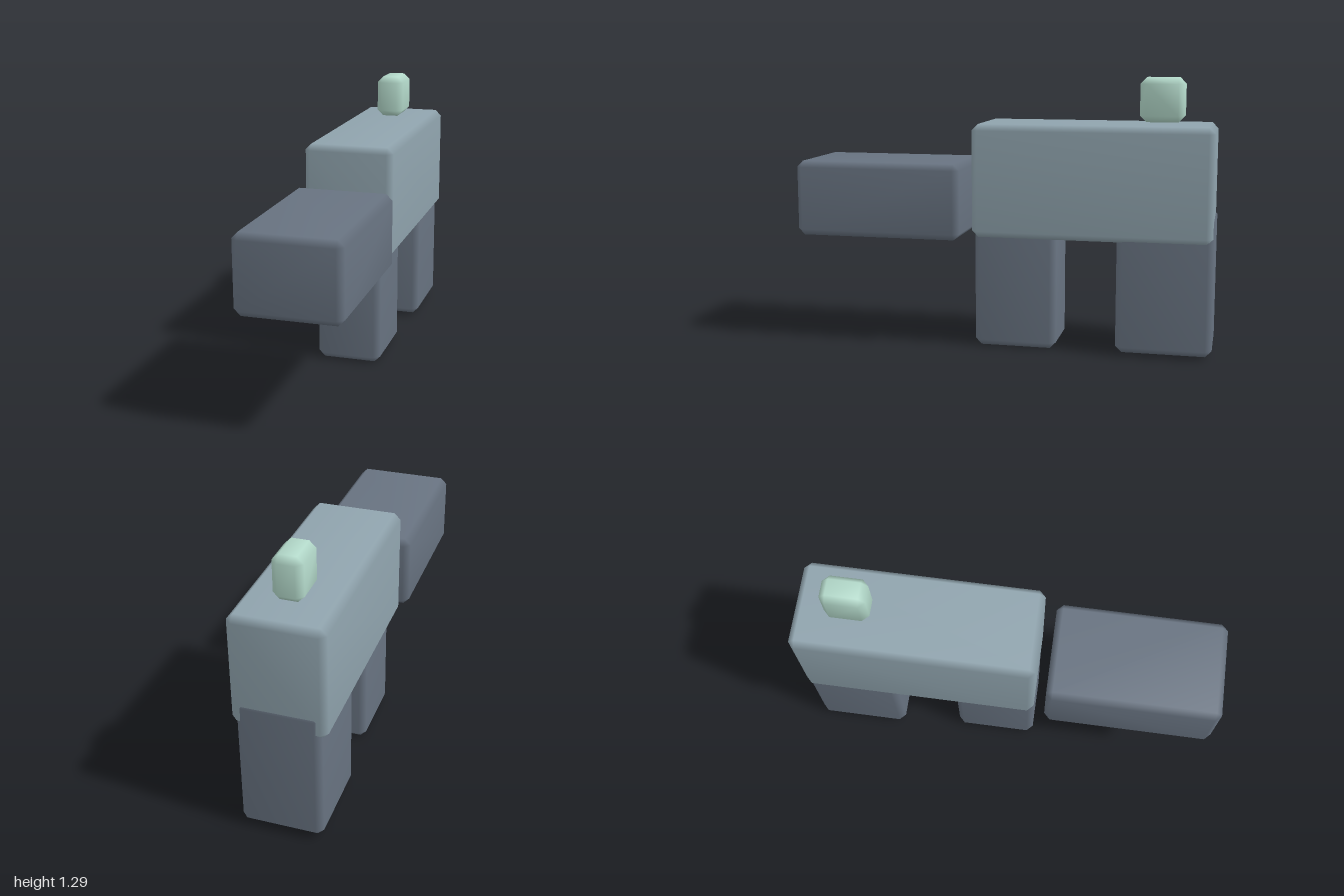
import * as THREE from 'three';
import { ConvexGeometry } from 'three/addons/geometries/ConvexGeometry.js';
import { mergeVertices } from 'three/addons/utils/BufferGeometryUtils.js';

const BEVEL = 0.03;

// Box with chamfered edges and smooth, area-weighted normals
function bevelledBox(w, h, d) {
  const points = [];
  for (const x of [-1, 1]) for (const y of [-1, 1]) for (const z of [-1, 1]) {
    for (let axis = 0; axis < 3; axis++) {
      // each corner becomes three points, each lying on one of the big faces
      const inset = [0, 1, 2].map((i) => (i === axis ? 0 : BEVEL));
      points.push(new THREE.Vector3(
        x * (w / 2 - inset[0]), y * (h / 2 - inset[1]), z * (d / 2 - inset[2])));
    }
  }
  const geometry = new ConvexGeometry(points);
  geometry.deleteAttribute('normal');
  const smooth = mergeVertices(geometry, 1e-5);
  smooth.computeVertexNormals();
  return smooth;
}

export function createModel() {
  const slate = new THREE.MeshStandardMaterial({ color: 0x687381 });
  slate.name = 'dark slate';
  const blueGrey = new THREE.MeshStandardMaterial({ color: 0x90a4ae });
  blueGrey.name = 'blue grey';
  const mint = new THREE.MeshStandardMaterial({ color: 0xb4dacb });
  mint.name = 'pale mint';

  const group = new THREE.Group();
  group.name = 'blockFigure';

  // Blocks are centred on x and given by width and their y and z ranges
  const block = (name, material, width, [y0, y1], [z0, z1]) => {
    const mesh = new THREE.Mesh(bevelledBox(width, y1 - y0, z1 - z0), material);
    mesh.name = name;
    mesh.position.set(0, (y0 + y1) / 2, (z0 + z1) / 2);
    group.add(mesh);
  };

  block('body', blueGrey, 0.43, [0.54, 1.075], [-0.993, 0.132]);
  block('frontBlock', slate, 0.48, [0.522, 0.885], [0.187, 1]);
  block('frontLeg', slate, 0.314, [0, 0.63], [-0.265, 0.13]);
  block('backLeg', slate, 0.38, [0.012, 0.665], [-1, -0.553]);
  block('topKnob', mint, 0.138, [1.085, 1.292], [-0.845, -0.638]);

  return group;
}
